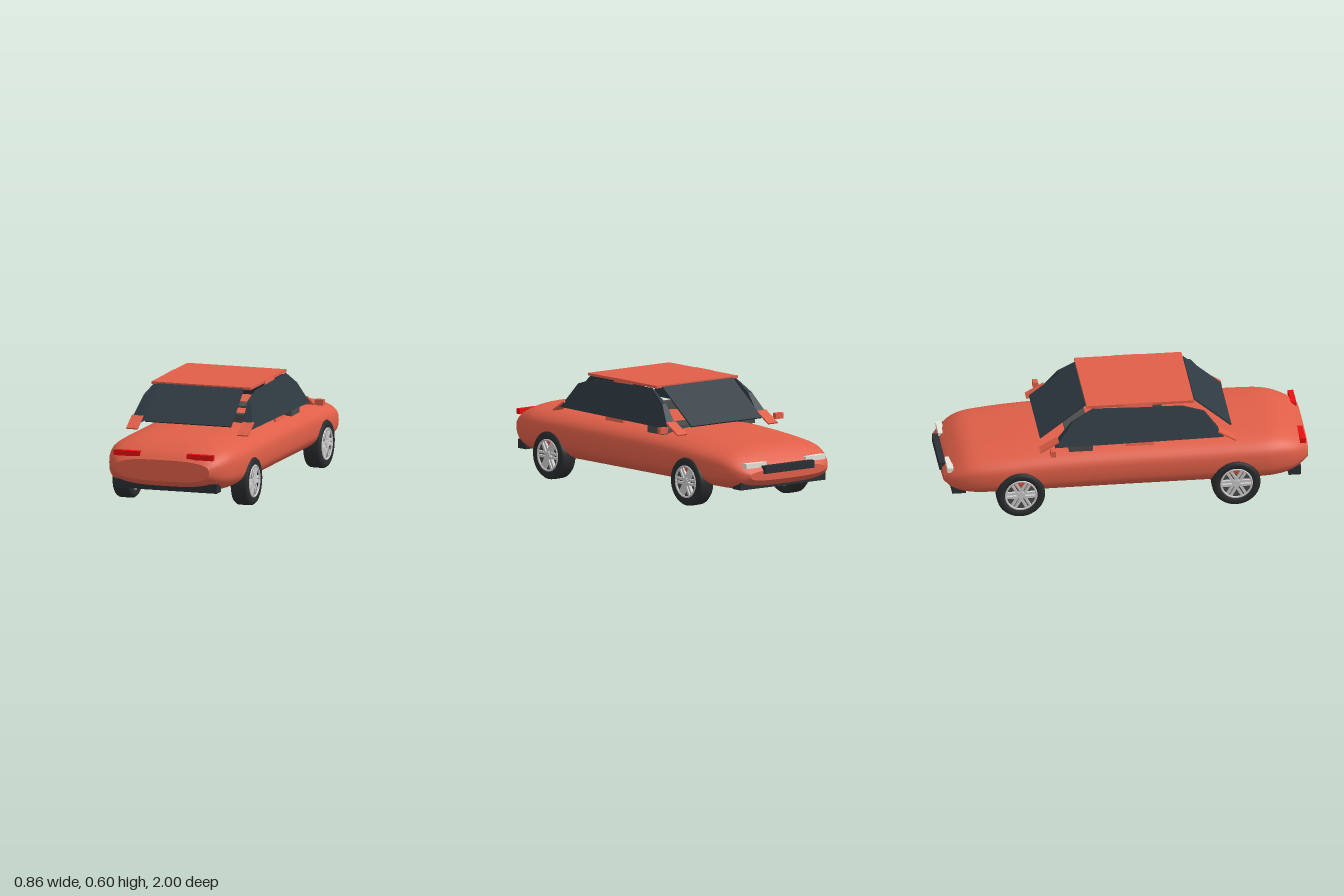
import * as THREE from 'three';

const mat = (color, side = THREE.FrontSide) => new THREE.MeshStandardMaterial({ color, side });
const paint = mat(0xe05f48), glass = mat(0x2f3a42), rubber = mat(0x2a2c2e), trim = mat(0x2b2f33);
const cabin = mat(0x4c4c4c), alloy = mat(0xcccccc), tailRed = mat(0xe81010), lampWhite = mat(0xe6e6dc);

export function createModel() {
  const car = new THREE.Group();
  car.name = 'car';

  const add = (name, geometry, material, parent = car) => {
    const mesh = new THREE.Mesh(geometry, material);
    mesh.name = name;
    parent.add(mesh);
    return mesh;
  };
  // Box given by its limits on each axis
  const box = (name, [x0, x1], [y0, y1], [z0, z1], material) => {
    const m = add(name, new THREE.BoxGeometry(x1 - x0, y1 - y0, z1 - z0), material);
    m.position.set((x0 + x1) / 2, (y0 + y1) / 2, (z0 + z1) / 2);
    return m;
  };
  // Thin sloping plate running between two [z, y] points
  const plate = (name, x, width, [z0, y0], [z1, y1], thick, material) => {
    const m = add(name, new THREE.BoxGeometry(width, thick, Math.hypot(z1 - z0, y1 - y0)), material);
    m.position.set(x, (y0 + y1) / 2, (z0 + z1) / 2);
    m.rotation.x = -Math.atan2(y1 - y0, z1 - z0);
    return m;
  };

  // Body shell: rounded sections along z
  add('body', bodyGeometry(), paint);

  // Roof and end windows
  box('roof', [-0.285, 0.285], [0.588, 0.602], [-0.21, 0.375], paint);
  plate('windscreen', 0, 0.494, [-0.46, 0.405], [-0.212, 0.592], 0.008, glass);
  plate('rearWindow', 0, 0.494, [0.378, 0.592], [0.582, 0.42], 0.008, glass);

  // Seats and dashboard
  for (const x of [-0.155, 0.155]) box('seatBack', [x - 0.095, x + 0.095], [0.3, 0.425], [0.195, 0.24], cabin);
  box('dashboard', [-0.325, 0.325], [0.35, 0.39], [-0.31, -0.18], cabin);
  const steering = add('steeringWheel', new THREE.TorusGeometry(0.045, 0.006, 8, 24), trim);
  steering.position.set(-0.155, 0.37, -0.12);
  steering.rotation.x = -0.35;

  // Parts repeated on both sides
  for (const s of [-1, 1]) {
    const span = (a, b) => (s > 0 ? [a, b] : [-b, -a]);
    add('sideWindow', sideWindowGeometry(s), glass);
    const post = box('middlePillar', [-0.005, 0.005], [-0.117, 0.117], [0, 0.15], paint);
    post.position.set(s * 0.313, 0.49, 0.073);
    post.rotation.z = s * 0.28;
    plate('rearPillar', s * 0.318, 0.065, [0.595, 0.378], [0.5, 0.435], 0.008, paint);
    plate('frontPillar', s * 0.318, 0.065, [-0.47, 0.368], [-0.37, 0.425], 0.008, paint);
    box('doorMirror', span(0.38, 0.43), [0.378, 0.41], [-0.422, -0.394], paint);
    box('tailLight', span(0.135, 0.285), [0.303, 0.332], [0.955, 0.985], tailRed);
    box('headlight', span(0.138, 0.278), [0.238, 0.265], [-0.968, -0.935], lampWhite);
    for (const z of [0.595, -0.58]) {
      const wheel = makeWheel(add);
      wheel.position.set(s * 0.34, 0.133, z);
      car.add(wheel);
    }
  }

  // Grille and bumpers
  box('grille', [-0.172, 0.172], [0.205, 0.247], [-1, -0.955], trim);
  box('rearBumper', [-0.297, 0.297], [0.12, 0.17], [0.89, 0.958], trim);
  box('frontBumper', [-0.297, 0.297], [0.12, 0.16], [-0.945, -0.87], trim);
  return car;
}

function bodyGeometry() {
  // z, half width, bottom, top
  const rows = [
    [-0.985, 0.26, 0.165, 0.225], [-0.94, 0.315, 0.128, 0.272], [-0.85, 0.357, 0.1, 0.332],
    [-0.7, 0.377, 0.097, 0.352], [-0.45, 0.38, 0.097, 0.371], [-0.1, 0.38, 0.097, 0.381],
    [0.3, 0.38, 0.097, 0.384], [0.7, 0.379, 0.097, 0.386], [0.83, 0.362, 0.1, 0.381],
    [0.91, 0.335, 0.118, 0.357], [0.965, 0.3, 0.15, 0.328], [1, 0.268, 0.178, 0.295],
  ];
  const curve = (f) => new THREE.CatmullRomCurve3(rows.map(f), false, 'catmullrom', 0.5);
  const plan = curve(([z, w]) => new THREE.Vector3(z, w, 0));
  const side = curve(([z, , b, t]) => new THREE.Vector3(z, b, t));
  const steps = 44, sides = 48, pos = [], index = [];
  const ring = (t) => {
    const p = plan.getPoint(t), q = side.getPoint(t);
    for (let j = 0; j < sides; j++) {
      const a = (j / sides) * Math.PI * 2;
      const round = (v) => Math.sign(v) * Math.pow(Math.abs(v), 2 / 3);
      pos.push(p.y * round(Math.cos(a)), (q.y + q.z) / 2 + ((q.z - q.y) / 2) * round(Math.sin(a)), p.x);
    }
  };
  for (let i = 0; i <= steps; i++) ring(i / steps);
  for (let i = 0; i < steps; i++) {
    for (let j = 0; j < sides; j++) {
      const k = (j + 1) % sides, a = i * sides + j, b = i * sides + k;
      index.push(a, b, a + sides, b, b + sides, a + sides);
    }
  }
  // Flat end caps with their own vertices
  for (const t of [0, 1]) {
    const base = pos.length / 3;
    ring(t);
    for (let j = 1; j < sides - 1; j++) {
      if (t) index.push(base, base + j, base + j + 1);
      else index.push(base, base + j + 1, base + j);
    }
  }
  const g = new THREE.BufferGeometry();
  g.setAttribute('position', new THREE.Float32BufferAttribute(pos, 3));
  g.setIndex(index);
  g.computeVertexNormals();
  return g;
}

// Side glass: upright inner face, outer face leaning in towards the roof
function sideWindowGeometry(s) {
  const outline = [[0.53, 0.403], [0.43, 0.54], [0.31, 0.577], [-0.18, 0.588], [-0.295, 0.517], [-0.39, 0.393]];
  const shape = new THREE.Shape(outline.map(([z, y]) => new THREE.Vector2(-z, y)));
  const g = new THREE.ExtrudeGeometry(shape, { depth: 1, bevelEnabled: false });
  g.rotateY(Math.PI / 2);
  const p = g.attributes.position;
  for (let i = 0; i < p.count; i++) {
    const outer = s > 0 ? p.getX(i) > 0.5 : p.getX(i) < 0.5;
    const lean = 0.065 * (0.595 - p.getY(i)) / 0.205;
    p.setX(i, s * (outer ? 0.29 + lean : 0.288));
  }
  g.computeVertexNormals();
  return g;
}

function makeWheel(add) {
  const wheel = new THREE.Group();
  wheel.name = 'wheel';
  // Tyre profile, closed around the rim opening
  const profile = [[0.088, -0.046], [0.108, -0.05], [0.124, -0.047], [0.132, -0.036], [0.133, 0],
    [0.132, 0.036], [0.124, 0.047], [0.108, 0.05], [0.088, 0.046], [0.088, -0.046]];
  const tyre = new THREE.LatheGeometry(profile.map(([r, y]) => new THREE.Vector2(r, y)), 40);
  add('tyre', tyre.rotateZ(Math.PI / 2), rubber, wheel);
  const disc = (name, r, w, m) => add(name, new THREE.CylinderGeometry(r, r, w, 32).rotateZ(Math.PI / 2), m, wheel);
  disc('rimCore', 0.088, 0.06, cabin);
  disc('hub', 0.02, 0.1, alloy);
  for (const x of [-0.045, 0.045]) {
    add('rimEdge', new THREE.TorusGeometry(0.084, 0.006, 8, 40).rotateY(Math.PI / 2), alloy, wheel).position.x = x;
  }
  // Paired spokes
  for (let i = 0; i < 6; i++) {
    for (const off of [-0.011, 0.011]) {
      const spoke = new THREE.BoxGeometry(0.094, 0.013, 0.075);
      spoke.translate(0, off, 0.047).rotateX((i * Math.PI) / 3);
      add('spoke', spoke, alloy, wheel);
    }
  }
  return wheel;
}
